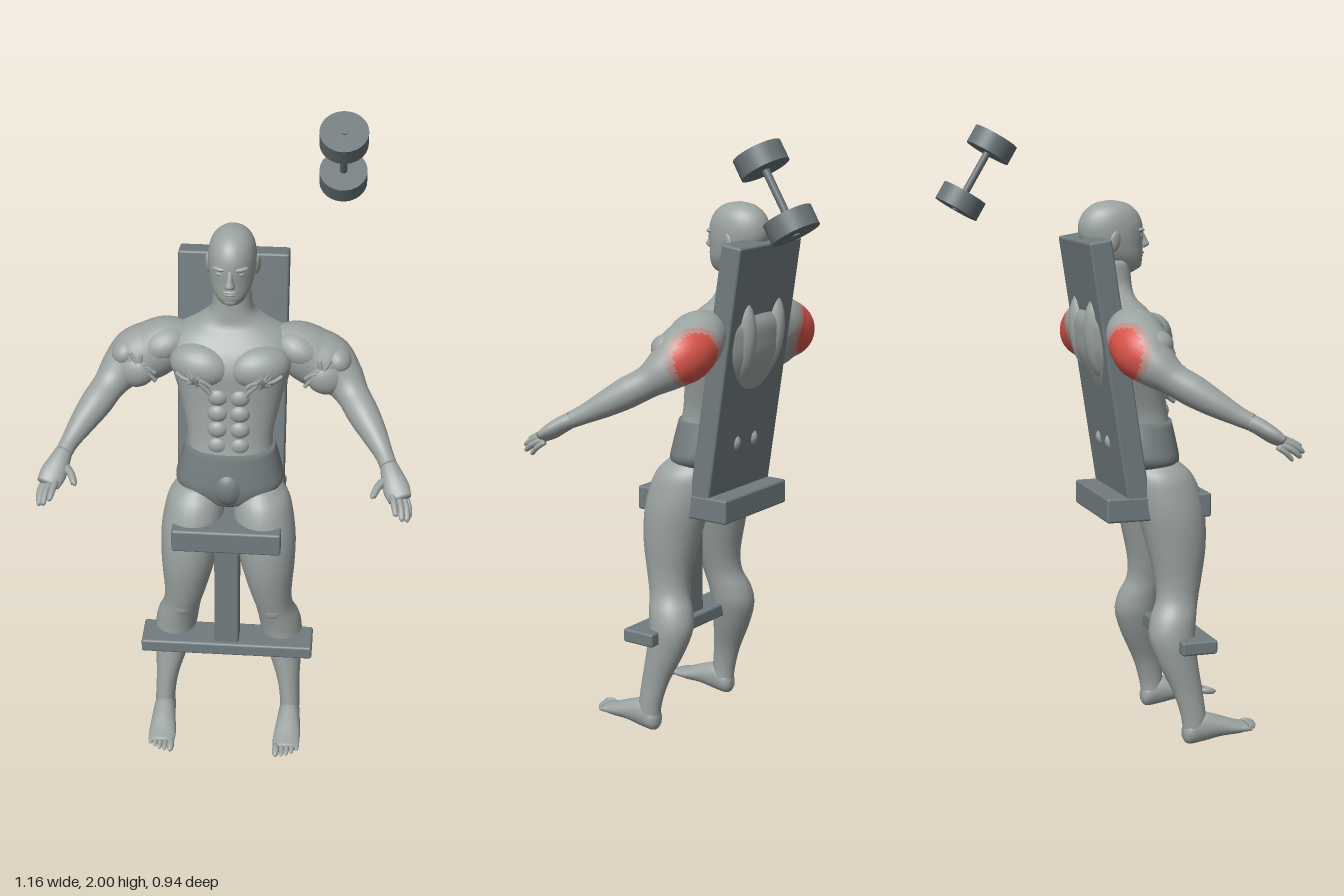
import * as THREE from 'three';
import { RoundedBoxGeometry } from 'three/addons/geometries/RoundedBoxGeometry.js';

const V = (x, y, z) => new THREE.Vector3(x, y, z);
const material = (name, color) => {
  const m = new THREE.MeshStandardMaterial({ color });
  m.name = name;
  return m;
};

// Smooth skin through elliptical sections [x, y, z, radiusU, radiusV].
// A fixed axis keeps the rings parallel; otherwise they follow the path.
function loft(sections, { axis = null, ref = V(0, 1, 0), segs = 28, steps = 5, power = 1 } = {}) {
  const spline = pts => new THREE.CatmullRomCurve3(pts, false, 'catmullrom', 0.5);
  const path = spline(sections.map(s => V(s[0], s[1], s[2])));
  const radii = spline(sections.map(s => V(s[3], s[4], 0)));
  const rows = (sections.length - 1) * steps;
  const pos = [], idx = [];
  const bend = n => Math.sign(n) * Math.abs(n) ** power;
  for (let i = 0; i <= rows; i++) {
    const c = path.getPoint(i / rows), r = radii.getPoint(i / rows);
    const t = axis || path.getTangent(i / rows);
    const u = ref.clone().cross(t).normalize(), v = t.clone().cross(u);
    for (let j = 0; j < segs; j++) {
      const a = j / segs * Math.PI * 2;
      const p = c.clone().addScaledVector(u, r.x * bend(Math.cos(a))).addScaledVector(v, r.y * bend(Math.sin(a)));
      pos.push(p.x, p.y, p.z);
    }
  }
  for (let i = 0; i < rows; i++) for (let j = 0; j < segs; j++) {
    const k = (j + 1) % segs, a = i * segs + j, b = i * segs + k;
    idx.push(a, b, b + segs, a, b + segs, a + segs);
  }
  const start = pos.length / 3, first = path.getPoint(0), last = path.getPoint(1);
  pos.push(...first.toArray(), ...last.toArray());
  for (let j = 0; j < segs; j++) {
    const k = (j + 1) % segs;
    idx.push(start, k, j, start + 1, rows * segs + j, rows * segs + k);
  }
  const g = new THREE.BufferGeometry();
  g.setAttribute('position', new THREE.Float32BufferAttribute(pos, 3));
  g.setIndex(idx);
  g.computeVertexNormals();
  return g;
}

// Ellipsoid placed directly in model space.
function blob(p, r, rot = [0, 0, 0]) {
  const q = new THREE.Quaternion().setFromEuler(new THREE.Euler(...rot));
  return new THREE.SphereGeometry(1, 22, 14).applyMatrix4(new THREE.Matrix4().compose(V(...p), q, V(...r)));
}

// Sort triangles into material groups by a rule on their centres.
function paint(g, rule, count) {
  const p = g.attributes.position, old = g.index.array, bins = Array.from({ length: count }, () => []);
  for (let i = 0; i < old.length; i += 3) {
    const tri = [old[i], old[i + 1], old[i + 2]], c = V(0, 0, 0);
    tri.forEach(k => c.add(V(p.getX(k), p.getY(k), p.getZ(k)).divideScalar(3)));
    bins[rule(c)].push(...tri);
  }
  let at = 0;
  bins.forEach((b, i) => { g.addGroup(at, b.length, i); at += b.length; });
  g.setIndex(bins.flat());
  return g;
}

// Mirror across x and restore the outward winding.
function mirrored(g) {
  const m = g.clone().scale(-1, 1, 1), a = m.index.array;
  for (let i = 0; i < a.length; i += 3) [a[i + 1], a[i + 2]] = [a[i + 2], a[i + 1]];
  return m;
}

export function createModel() {
  const root = new THREE.Group();
  root.name = 'seatedTrainingFigure';
  const skin = material('bodyGrey', 0x9ba3a0), cloth = material('shortsGrey', 0x737b7d);
  const frame = material('benchGrey', 0x717c7f), iron = material('weightGrey', 0x687376);
  const red = material('muscleRed', 0xd9544a), pink = material('muscleFade', 0xb88c86);
  const add = (name, g, m) => {
    const mesh = new THREE.Mesh(g, m);
    mesh.name = name;
    root.add(mesh);
    return mesh;
  };
  const pair = (name, g, m) => {
    add(name + 'Left', g, m);
    add(name + 'Right', mirrored(g), m);
  };
  const up = { axis: V(0, 1, 0), ref: V(0, 0, 1) };

  // Bench: backrest, seat, post and foot bar
  const box = (name, size, p, tilt = 0) => {
    const mesh = add(name, new RoundedBoxGeometry(...size, 2, 0.008), frame);
    mesh.position.set(...p);
    mesh.rotation.x = tilt;
  };
  box('backrest', [0.346, 0.87, 0.075], [0, 1.222, 0], -0.155);
  box('seat', [0.35, 0.08, 0.355], [0, 0.79, 0.132]);
  box('post', [0.08, 0.43, 0.08], [0, 0.55, 0.24]);
  box('footBar', [0.566, 0.046, 0.12], [0, 0.343, 0.235]);

  // Torso and neck
  add('torso', loft([
    [0, 1.03, 0.115, 0.138, 0.1], [0, 1.1, 0.1, 0.138, 0.098], [0, 1.2, 0.07, 0.16, 0.115],
    [0, 1.28, 0.05, 0.183, 0.13], [0, 1.34, 0.045, 0.2, 0.132], [0, 1.39, 0.035, 0.2, 0.12],
    [0, 1.43, 0.03, 0.165, 0.092], [0, 1.46, 0.025, 0.11, 0.07], [0, 1.5, 0.025, 0.067, 0.062],
    [0, 1.58, 0.025, 0.058, 0.056]], { ...up, segs: 40, power: 0.85 }), skin);
  add('shorts', loft([
    [0, 0.865, 0.14, 0.05, 0.07], [0, 0.885, 0.14, 0.12, 0.09], [0, 0.93, 0.13, 0.17, 0.108],
    [0, 0.98, 0.12, 0.165, 0.112], [0, 1.06, 0.112, 0.143, 0.104]], { ...up, segs: 36, power: 0.85 }), cloth);
  add('shortsFront', blob([0, 0.94, 0.215], [0.05, 0.06, 0.035]), cloth);

  // Chest, stomach and back muscles
  pair('chest', blob([0.092, 1.345, 0.125], [0.1, 0.07, 0.068], [0, 0.25, 0.1]), skin);
  pair('backMuscle', blob([0.078, 1.335, -0.03], [0.044, 0.14, 0.062], [-0.155, 0, -0.06]), skin);
  pair('lowerBack', blob([0.048, 0.995, 0.06], [0.032, 0.045, 0.074]), skin);
  for (let i = 0; i < 4; i++) {
    pair('stomachMuscle', blob([0.034, 1.255 - i * 0.056, 0.168 + i * 0.005], [0.034, 0.031, 0.025]), skin);
  }
  // Ragged fibres fanned over the chest and the front of the arm
  for (let i = 0; i < 9; i++) {
    const a = i / 9 * Math.PI * 2 + 0.3, l = 0.035 + 0.015 * (i % 3);
    const ray = (x, y, z, slope) => {
      const pts = [0.25, 0.6, 1].map((k, n) => V(x + Math.cos(a) * l * k, y + Math.sin(a + n * 0.3) * l * k * 0.8,
        z - slope * Math.cos(a) * l * k - 0.012 * k));
      return new THREE.TubeGeometry(new THREE.CatmullRomCurve3(pts), 6, 0.007, 6);
    };
    pair('chestFibre', ray(0.105, 1.325, 0.192, 0.25), skin);
    pair('armFibre', ray(0.285, 1.325, 0.125, 0.2), skin);
  }

  // Head and face
  add('head', loft([
    [0, 1.535, 0.055, 0.02, 0.03], [0, 1.55, 0.06, 0.04, 0.052], [0, 1.57, 0.058, 0.052, 0.066],
    [0, 1.595, 0.044, 0.064, 0.082], [0, 1.625, 0.03, 0.071, 0.096], [0, 1.66, 0.022, 0.075, 0.106],
    [0, 1.7, 0.02, 0.073, 0.104], [0, 1.735, 0.02, 0.062, 0.086], [0, 1.76, 0.02, 0.037, 0.052],
    [0, 1.77, 0.02, 0.004, 0.006]], { ...up, segs: 36 }), skin);
  add('nose', loft([[0, 1.617, 0.126, 0.015, 0.012], [0, 1.627, 0.13, 0.016, 0.021],
    [0, 1.645, 0.126, 0.01, 0.017], [0, 1.672, 0.12, 0.008, 0.008]], { ...up, segs: 14 }), skin);
  add('upperLip', blob([0, 1.601, 0.121], [0.023, 0.006, 0.011]), skin);
  add('lowerLip', blob([0, 1.591, 0.118], [0.02, 0.007, 0.011]), skin);
  add('chin', blob([0, 1.565, 0.104], [0.026, 0.018, 0.02]), skin);
  pair('brow', blob([0.032, 1.675, 0.11], [0.025, 0.008, 0.014], [0, 0.35, 0]), skin);
  pair('eye', blob([0.031, 1.658, 0.111], [0.014, 0.007, 0.009], [0, 0.3, 0]), skin);
  pair('ear', blob([0.076, 1.642, 0.012], [0.009, 0.034, 0.02], [0.2, -0.35, 0]), skin);

  // Arms, with the worked muscle picked out on the back
  const glow = V(0.315, 1.315, -0.045);
  const zone = c => {
    const d = c.distanceTo(glow);
    return d < 0.083 ? 2 : d < 0.102 ? 1 : 0;
  };
  pair('arm', paint(loft([
    [0.13, 1.375, 0.03, 0.06, 0.06], [0.2, 1.365, 0.03, 0.088, 0.083], [0.255, 1.335, 0.03, 0.092, 0.092],
    [0.305, 1.31, 0.035, 0.09, 0.09], [0.35, 1.275, 0.06, 0.07, 0.07], [0.385, 1.24, 0.1, 0.053, 0.052],
    [0.42, 1.205, 0.155, 0.05, 0.05], [0.455, 1.17, 0.21, 0.041, 0.042], [0.488, 1.135, 0.27, 0.029, 0.031],
    [0.505, 1.115, 0.31, 0.027, 0.027]], { segs: 40, steps: 7 }), zone, 3), [skin, pink, red]);
  pair('shoulder', blob([0.215, 1.375, 0.04], [0.09, 0.062, 0.085], [0, 0, -0.35]), skin);
  pair('biceps', blob([0.3, 1.295, 0.09], [0.068, 0.058, 0.045], [0, 0.3, -0.5]), skin);
  pair('upperArmBulge', blob([0.335, 1.345, 0.065], [0.045, 0.04, 0.05], [0, 0, -0.7]), skin);

  // Hands
  pair('palm', loft([[0.502, 1.12, 0.3, 0.026, 0.026], [0.515, 1.1, 0.335, 0.034, 0.026],
    [0.53, 1.075, 0.37, 0.041, 0.024], [0.543, 1.055, 0.4, 0.036, 0.017]],
  { segs: 18, ref: V(-0.35, 1, 0) }), skin);
  const finger = (name, a, b, c, r) => pair(name, loft([[...a, r, r], [...b, r * 0.95, r * 0.95],
    [...c, r * 0.75, r * 0.75], [c[0], c[1] - 0.003, c[2] + 0.005, r * 0.2, r * 0.2]], { segs: 10, steps: 3 }), skin);
  finger('indexFinger', [0.518, 1.068, 0.385], [0.524, 1.056, 0.425], [0.53, 1.04, 0.458], 0.011);
  finger('middleFinger', [0.537, 1.06, 0.388], [0.546, 1.045, 0.43], [0.55, 1.025, 0.46], 0.011);
  finger('ringFinger', [0.553, 1.05, 0.385], [0.564, 1.033, 0.42], [0.566, 1.013, 0.445], 0.011);
  finger('littleFinger', [0.563, 1.045, 0.372], [0.572, 1.026, 0.398], [0.574, 1.006, 0.415], 0.009);
  finger('thumb', [0.5, 1.09, 0.34], [0.474, 1.082, 0.375], [0.46, 1.07, 0.41], 0.013);

  // Legs and feet
  pair('leg', loft([
    [0.212, 0.04, 0.245, 0.034, 0.04], [0.212, 0.1, 0.238, 0.033, 0.042], [0.205, 0.18, 0.22, 0.038, 0.05],
    [0.19, 0.28, 0.19, 0.056, 0.067], [0.178, 0.36, 0.175, 0.068, 0.077], [0.168, 0.42, 0.182, 0.068, 0.076],
    [0.152, 0.48, 0.2, 0.062, 0.07], [0.14, 0.55, 0.208, 0.07, 0.078], [0.13, 0.65, 0.205, 0.087, 0.097],
    [0.121, 0.75, 0.192, 0.098, 0.11], [0.112, 0.83, 0.175, 0.097, 0.112], [0.106, 0.89, 0.16, 0.086, 0.1],
    [0.1, 0.93, 0.15, 0.055, 0.07]], up), skin);
  pair('kneecap', blob([0.152, 0.49, 0.25], [0.034, 0.042, 0.022]), skin);
  pair('foot', loft([
    [0.212, 0.04, 0.203, 0.015, 0.02], [0.212, 0.043, 0.22, 0.032, 0.04], [0.212, 0.056, 0.265, 0.036, 0.05],
    [0.211, 0.054, 0.325, 0.041, 0.036], [0.209, 0.045, 0.385, 0.045, 0.022], [0.208, 0.043, 0.425, 0.042, 0.013]],
  { axis: V(0, 0, 1), segs: 22 }), skin);
  for (let i = 0; i < 5; i++) {
    const r = i ? 0.0085 : 0.012;
    pair('toe', blob([0.176 + i * 0.0165 + (i ? 0.003 : 0), 0.044, 0.44 - i * i * 0.002], [r, r, 0.028], [0.15, 0, 0]), skin);
  }

  // Floating dumbbell
  const dumbbell = new THREE.Group();
  dumbbell.name = 'dumbbell';
  dumbbell.position.set(0.325, 1.848, -0.339);
  dumbbell.rotation.x = 0.537;
  const cylinder = (name, r, h, y) => {
    const mesh = new THREE.Mesh(new THREE.CylinderGeometry(r, r, h, 40), iron);
    mesh.name = name;
    mesh.position.y = y;
    dumbbell.add(mesh);
  };
  cylinder('handle', 0.012, 0.282, 0);
  for (const s of [-1, 1]) cylinder('weight', 0.077, 0.063, s * 0.106);
  root.add(dumbbell);
  return root;
}
